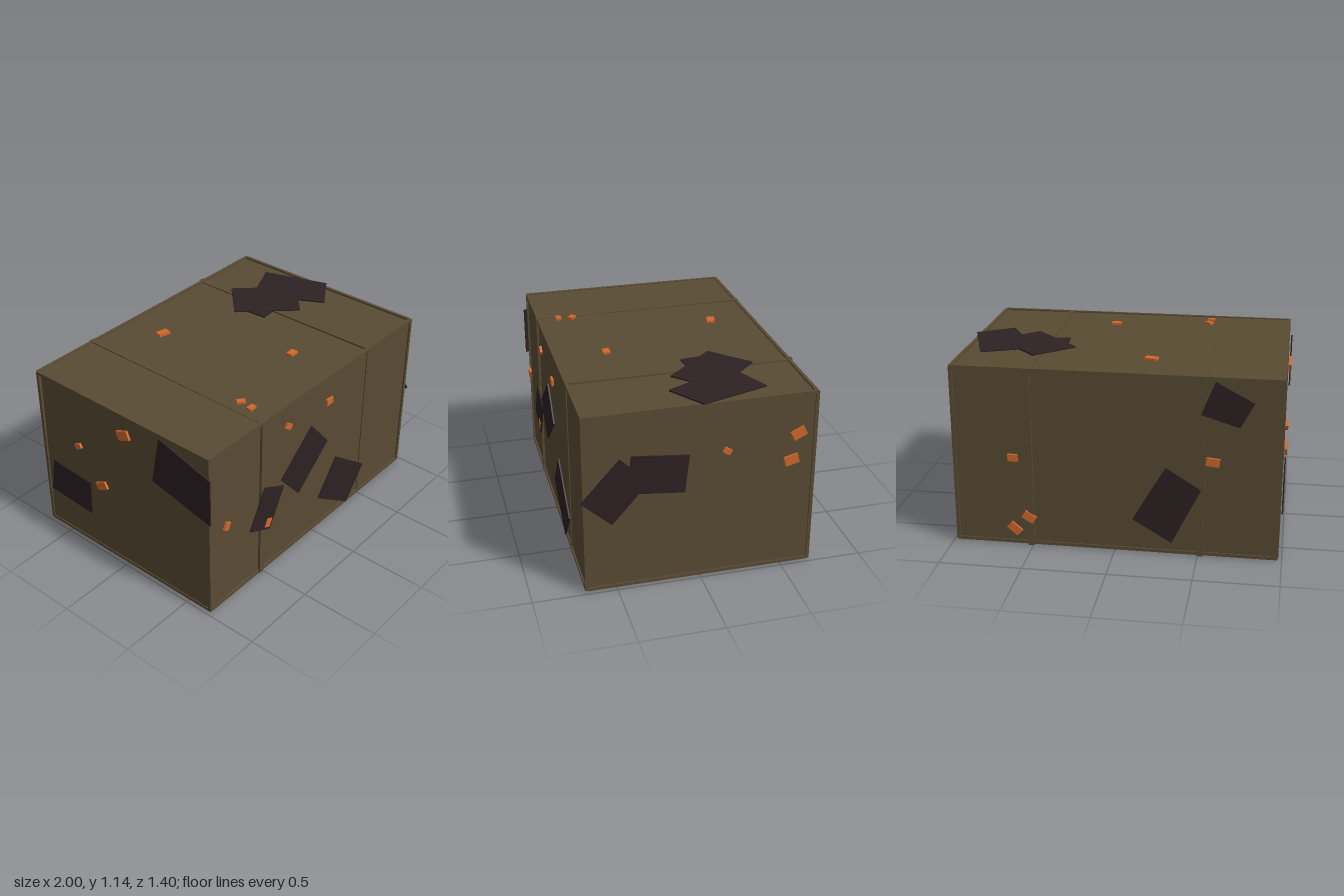
import * as THREE from 'three';

const material = (name, color) => {
  const m = new THREE.MeshStandardMaterial({ color });
  m.name = name;
  return m;
};

export function createModel() {
  const model = new THREE.Group();
  model.name = 'crate';
  const olive = material('olive brown', 0x594b33);
  const dark = material('charred plum', 0x2d2123);
  const orange = material('ember orange', 0xd0682c);

  const box = (name, w, h, d, x, y, z, parent = model) => {
    const mesh = new THREE.Mesh(new THREE.BoxGeometry(w, h, d), olive);
    mesh.name = name;
    mesh.position.set(x, y, z);
    parent.add(mesh);
    return mesh;
  };

  // Slightly crooked body
  const crooked = (x, y, z) => [
    x + (x < 0 ? 0.012 * y : 0),
    y - 0.004 * x * (y > 0.5 ? 1 : 0),
    z + 0.009 * x * (z > 0 ? 1 : 0.4),
  ];
  const body = box('body', 1.945, 1.104, 1.345, 0, 0, 0);
  body.geometry.translate(-0.002, 0.564, -0.004);
  const p = body.geometry.attributes.position;
  for (let i = 0; i < p.count; i++) p.setXYZ(i, ...crooked(p.getX(i), p.getY(i), p.getZ(i)));
  body.geometry.computeVertexNormals();

  // Thin raised bars along the twelve edges
  const edges = new THREE.Group();
  edges.name = 'edgeBars';
  model.add(edges);
  const X = 0.97, Y = [0.017, 1.115], Z = 0.672, T = 0.02;
  for (const s of [-1, 1]) {
    for (const y of Y) {
      box('lengthEdge', 2 * X, T, T, 0, y, s * Z - 0.003, edges).rotation.y = s > 0 ? -0.008 : -0.004;
      box('sideEdge', T, T, 2 * Z, s * X, y, -0.003, edges);
    }
    for (const t of [-1, 1]) box('cornerEdge', T, 1.11, T, s * X, 0.566, t * Z - 0.003 + (t > 0 ? 0.008 * s : 0), edges);
  }

  // Two straps wrapped around the body
  for (const x of [-0.515, 0.51]) {
    const strap = new THREE.Group();
    strap.name = x < 0 ? 'rightStrap' : 'leftStrap';
    model.add(strap);
    box('strapFront', 0.034, 1.115, 0.02, x, 0.562, 0.669, strap);
    box('strapBack', 0.034, 1.125, 0.02, x, 0.564, -0.682, strap);
    const top = box('strapTop', 0.034, 0.02, 1.355, x, 1.113, -0.006, strap);
    top.rotation.x = x < 0 ? 0.004 : -0.003;
    box('strapBottom', 0.034, 0.016, 1.355, x, 0.012, -0.006, strap);
  }

  // Each face: outward rotation, distance of the outer surface, signs of its two coordinates
  const faces = {
    front: { rot: [0, 0, 0], out: 0.692, su: 1, sv: 1 },
    left: { rot: [0, Math.PI / 2, 0], out: 0.994, su: -1, sv: 1 },
    back: { rot: [0, Math.PI, 0], out: 0.698, su: -1, sv: 1 },
    right: { rot: [0, -Math.PI / 2, 0], out: 0.997, su: 1, sv: 1 },
    top: { rot: [-Math.PI / 2, 0, 0], out: 1.137, su: 1, sv: -1 },
  };
  for (const [name, f] of Object.entries(faces)) {
    f.group = new THREE.Group();
    f.group.name = name + 'Details';
    f.group.rotation.set(...f.rot);
    model.add(f.group);
  }
  const plate = (name, mat, face, pts, lift = 0, depth = 0.009) => {
    const f = faces[face];
    const shape = new THREE.Shape(pts.map(([u, v]) => new THREE.Vector2(u * f.su, v * f.sv)));
    const mesh = new THREE.Mesh(new THREE.ExtrudeGeometry(shape, { depth, bevelEnabled: false }), mat);
    mesh.name = name;
    mesh.position.z = f.out + lift - depth;
    f.group.add(mesh);
  };

  // Dark patches, as corners on each face
  const patches = {
    front: [
      [[-0.51, 0.66], [-0.33, 0.57], [-0.46, 0.32], [-0.64, 0.41]],
      [[-0.07, 0.86], [0.1, 0.66], [-0.18, 0.42], [-0.355, 0.62]],
      [[0.21, 0.47], [0.525, 0.23], [0.36, 0.015], [0.04, 0.24]],
    ],
    left: [
      [[0.7, 0.6], [0.475, 0.85], [0.305, 0.69], [0.525, 0.44]],
      [[0.41, 0.86], [0.075, 0.825], [0.1, 0.59], [0.435, 0.625]],
    ],
    back: [
      [[-0.585, 1.1], [-0.81, 0.98], [-0.73, 0.83], [-0.505, 0.9]],
      [[-0.305, 0.56], [-0.515, 0.43], [-0.345, 0.08], [-0.11, 0.22]],
    ],
    right: [
      [[0.32, 1.11], [0.69, 1.0], [0.69, 0.69], [0.26, 0.79]],
      [[-0.59, 0.52], [-0.27, 0.5], [-0.28, 0.26], [-0.63, 0.28]],
    ],
    top: [
      [[0.31, -0.23], [0.53, -0.44], [0.82, -0.13], [0.6, 0.08]],
      [[0.86, -0.41], [0.995, 0], [0.78, 0.14], [0.556, -0.28]],
      [[0.37, -0.17], [0.38, -0.04], [0.75, -0.07], [0.74, -0.2]],
    ],
  };
  for (const [face, list] of Object.entries(patches))
    list.forEach((pts, i) => plate('darkPatch', dark, face, pts, -0.001 * i));

  // Orange chips: centre, width, height, turn
  const chips = {
    front: [[-0.85, 0.595, 0.05, 0.04, 1.1], [-0.3, 0.985, 0.05, 0.035, -0.6], [0.1, 0.95, 0.06, 0.04, 0], [-0.475, 0.38, 0.06, 0.05, 1.1]],
    left: [[-0.145, 0.82, 0.05, 0.033, 0.55], [-0.57, 0.877, 0.085, 0.058, -0.45], [-0.533, 0.71, 0.085, 0.058, -0.25]],
    back: [[0.61, 0.57, 0.06, 0.045, 0], [0.61, 0.11, 0.085, 0.05, 0.7], [0.52, 0.19, 0.08, 0.05, 0.55], [-0.58, 0.61, 0.08, 0.05, 0.1]],
    right: [[0.04, 1.0, 0.09, 0.06, 0.4], [-0.35, 0.74, 0.05, 0.035, 0.5], [-0.17, 0.53, 0.09, 0.05, 0.5]],
    top: [[-0.18, -0.4, 0.075, 0.05, 0.25], [0.15, 0.36, 0.06, 0.045, 0], [-0.45, 0.455, 0.05, 0.035, 0.7], [-0.46, 0.54, 0.05, 0.035, 0]],
  };
  for (const [face, list] of Object.entries(chips))
    for (const [u, v, w, h, a] of list) {
      const c = Math.cos(a), s = Math.sin(a);
      const pts = [[-1, -1], [1, -1], [1, 1], [-1, 1]].map(([i, j]) => {
        const x = i * w / 2, y = j * h / 2;
        return [u + x * c - y * s, v + x * s + y * c];
      });
      plate('orangeChip', orange, face, pts, 0.003, 0.015);
    }

  return model;
}
